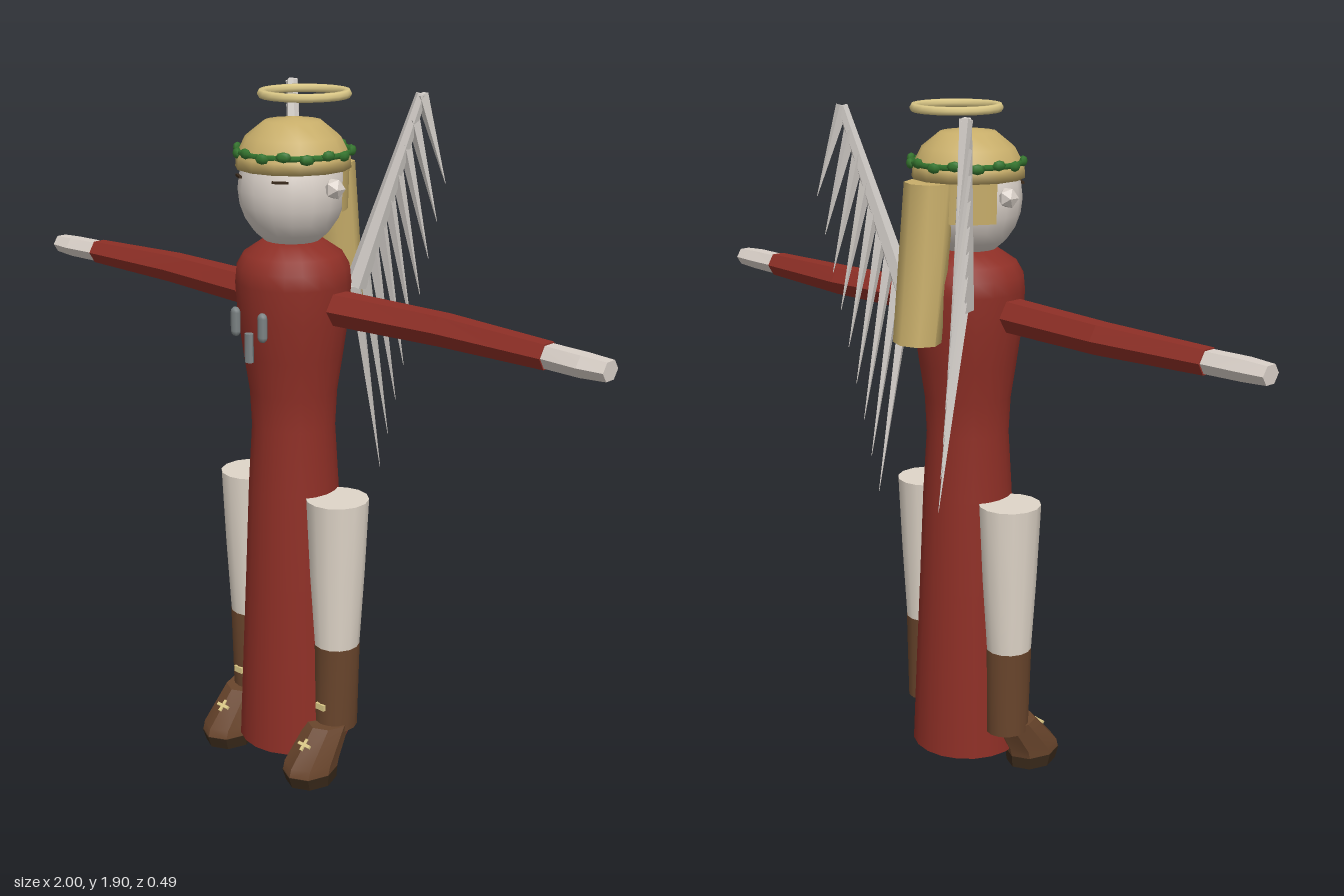
import * as THREE from 'three';
import { toCreasedNormals } from 'three/addons/utils/BufferGeometryUtils.js';

const paint = (name, color, side = THREE.FrontSide) => {
  const m = new THREE.MeshStandardMaterial({ color, side });
  m.name = name;
  return m;
};

export function createModel() {
  const red = paint('robe red', 0x8e2f26, THREE.DoubleSide);
  const skin = paint('pale skin', 0xd9d0c8);
  const cream = paint('stocking cream', 0xdfd5c8);
  const white = paint('feather white', 0xd2cdc8);
  const blond = paint('blond hair', 0xc8ae6a, THREE.DoubleSide);
  const gold = paint('pale gold', 0xdcc988);
  const brown = paint('boot brown', 0x69452c);
  const dark = paint('sole brown', 0x39291a);
  const green = paint('leaf green', 0x35752f);
  const grey = paint('steel grey', 0x7d8485);

  const root = new THREE.Group();
  root.name = 'wingedFigure';

  const add = (parent, name, geo, mat, x = 0, y = 0, z = 0) => {
    const mesh = new THREE.Mesh(geo, mat);
    mesh.name = name;
    mesh.position.set(x, y, z);
    parent.add(mesh);
    return mesh;
  };

  // Closed tube through sections [height, centreX, centreZ, radiusX, radiusZ], listed upwards
  const loft = (sections, sides, crease) => {
    const n = sections.length - 1;
    const geo = new THREE.CylinderGeometry(1, 1, 1, sides, n);
    const p = geo.attributes.position;
    for (let i = 0; i < p.count; i++) {
      const [h, cx, cz, rx, rz] = sections[Math.round((p.getY(i) + 0.5) * n)];
      p.setXYZ(i, cx + p.getX(i) * rx, h, cz + p.getZ(i) * rz);
    }
    return toCreasedNormals(geo, crease);
  };

  // Tapered rod from a to b
  const rod = (parent, name, a, b, ra, rb, sides, mat) => {
    const dir = b.clone().sub(a);
    const geo = toCreasedNormals(new THREE.CylinderGeometry(rb, ra, dir.length(), sides), 0.6);
    const mesh = add(parent, name, geo, mat);
    mesh.position.copy(a).addScaledVector(dir, 0.5);
    mesh.quaternion.setFromUnitVectors(new THREE.Vector3(0, 1, 0), dir.normalize());
    return mesh;
  };

  const lathe = (pts, sides) =>
    new THREE.LatheGeometry(pts.map(([r, y]) => new THREE.Vector2(r, y)), sides);

  // Long robe, open at the hem
  add(root, 'robe', lathe([
    [0.158, 0.055], [0.148, 0.3], [0.137, 0.55], [0.126, 0.82], [0.115, 1.0], [0.12, 1.1],
    [0.135, 1.2], [0.149, 1.3], [0.156, 1.4], [0.152, 1.44], [0.132, 1.475], [0.08, 1.51], [0, 1.515],
  ], 20), red, 0, 0, 0.056);

  // Head and hair
  const head = new THREE.Group();
  head.name = 'head';
  root.add(head);
  add(head, 'face', new THREE.SphereGeometry(1, 16, 12), skin, 0, 1.645, 0.06).scale.set(0.142, 0.158, 0.142);
  add(head, 'hairCap', lathe([
    [0, 1.7], [0.152, 1.7], [0.15, 1.73], [0.125, 1.78], [0.075, 1.82], [0, 1.83],
  ], 14), blond, 0, 0, 0.055);
  add(head, 'hairSides', new THREE.CylinderGeometry(0.15, 0.147, 0.107, 12, 1, true, 1.84, 2.6),
    blond, 0, 1.648, 0.06);
  add(head, 'hairBack', loft([
    [1.28, 0, -0.133, 0.07, 0.06], [1.7, 0, -0.085, 0.07, 0.065],
  ], 8, 0.9), blond);

  // Leaf wreath
  const wreath = new THREE.Group();
  wreath.name = 'wreath';
  wreath.position.set(0, 1.742, 0.05);
  head.add(wreath);
  add(wreath, 'wreathBand', new THREE.TorusGeometry(0.147, 0.008, 5, 24), green).rotation.x = Math.PI / 2;
  for (let i = 0; i < 16; i++) {
    const a = ((i + 0.5) / 16) * Math.PI * 2;
    const leaf = add(wreath, 'leaf', new THREE.SphereGeometry(1, 6, 4), green,
      Math.sin(a) * 0.152, i % 2 ? 0.004 : -0.003, Math.cos(a) * 0.152);
    leaf.scale.set(0.021, 0.014, 0.011);
    leaf.rotation.y = a;
  }

  // Halo
  add(root, 'halo', new THREE.TorusGeometry(0.112, 0.012, 6, 20), gold, 0, 1.885, 0.012).rotation.x = Math.PI / 2;

  // Chest ornaments
  for (const x of [-0.05, 0.05]) {
    add(root, 'chestOrnament', new THREE.CapsuleGeometry(0.015, 0.05, 3, 8), grey, x, 1.307, 0.222).scale.z = 0.75;
  }
  add(root, 'chestPendant', loft([
    [1.205, 0, 0.222, 0.013, 0.011], [1.283, 0, 0.222, 0.013, 0.011],
  ], 8, 0.9), grey);

  const buildSide = (side, name) => {
    const g = new THREE.Group();
    g.name = name;
    g.scale.x = side;
    root.add(g);

    // Ear and closed eye
    add(g, 'ear', toCreasedNormals(new THREE.IcosahedronGeometry(0.029, 0), 0.1), skin, 0.148, 1.66, 0.056);
    const eye = add(g, 'eyelid', new THREE.BoxGeometry(0.042, 0.006, 0.008), dark, 0.075, 1.682, 0.18);
    eye.rotation.y = 0.55;

    // Sleeve and hand, lofted upwards then laid along x
    const sleeve = add(g, 'sleeve', loft([
      [0.17, 0, 0.057, 0.048, 0.052], [0.5, 0, 0.034, 0.044, 0.047], [0.825, 0, 0.046, 0.036, 0.038],
    ], 6, 0.1), red, 0, 1.35, 0);
    const hand = add(g, 'hand', loft([
      [0.82, 0, 0.046, 0.032, 0.034], [0.93, 0, 0.052, 0.031, 0.037], [1.0, 0, 0.051, 0.027, 0.031],
    ], 6, 0.1), skin, 0, 1.35, 0);
    sleeve.rotation.z = hand.rotation.z = -Math.PI / 2;

    // Leg and boot
    add(g, 'stocking', loft([
      [0.388, 0.167, 0.057, 0.063, 0.064], [0.6, 0.166, 0.057, 0.076, 0.077], [0.82, 0.166, 0.057, 0.086, 0.087],
    ], 14, 0.7), cream);
    add(g, 'bootShaft', loft([
      [0.135, 0.165, 0.056, 0.058, 0.063], [0.39, 0.167, 0.057, 0.064, 0.065],
    ], 14, 0.7), brown);
    add(g, 'bootFoot', loft([
      [0.035, 0.165, 0.162, 0.07, 0.084], [0.06, 0.165, 0.155, 0.07, 0.084], [0.155, 0.165, 0.085, 0.058, 0.066],
    ], 8, 0.5), brown);
    add(g, 'sole', loft([
      [0, 0.165, 0.158, 0.066, 0.077], [0.036, 0.165, 0.163, 0.071, 0.085],
    ], 8, 0.5), dark);
    add(g, 'shaftBuckle', new THREE.BoxGeometry(0.03, 0.018, 0.009), gold, 0.165, 0.21, 0.12);
    for (const [w, h] of [[0.042, 0.009], [0.009, 0.036]]) {
      add(g, 'footBuckle', new THREE.BoxGeometry(w, h, 0.008), gold, 0.165, 0.115, 0.186).rotation.x = -0.85;
    }

    // Wing: a slanted arm hung with long pointed feathers
    const wing = new THREE.Group();
    wing.name = 'wing';
    g.add(wing);
    const tip = new THREE.Vector3(0.233, 1.885, -0.18);
    const base = new THREE.Vector3(0.11, 1.38, -0.07);
    rod(wing, 'wingArm', base, tip, 0.03, 0.015, 6, white);
    const count = 9;
    for (let i = 0; i < count; i++) {
      const t = i / (count - 1);
      const a = tip.clone().lerp(base, t);
      const b = new THREE.Vector3(0.27 - 0.15 * t, 1.65 - 0.81 * t, -0.242 + 0.072 * t);
      rod(wing, 'feather', a, b, 0.018, 0.0008, 4, white);
    }
  };
  buildSide(1, 'leftSide');
  buildSide(-1, 'rightSide');

  return root;
}
